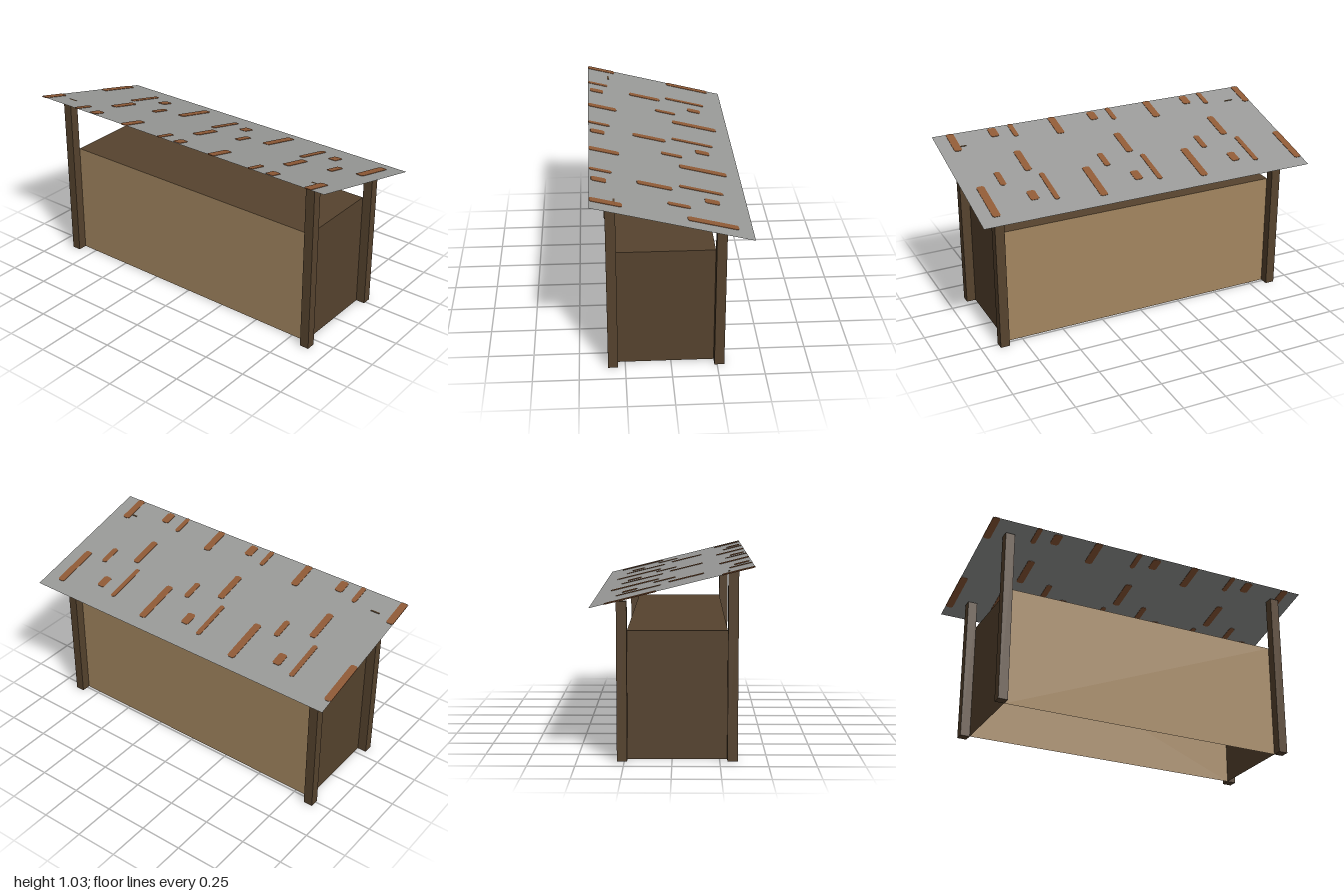
import * as THREE from 'three';

export function createModel() {
  const model = new THREE.Group();
  const mat = (name, color, side = THREE.FrontSide) => {
    const m = new THREE.MeshStandardMaterial({ color, side });
    m.name = name;
    return m;
  };
  const tan = mat('tan board', 0xa38660, THREE.DoubleSide);
  const brown = mat('dark timber', 0x56432e, THREE.DoubleSide);
  const grey = mat('grey metal', 0x999a98, THREE.DoubleSide);
  const rust = mat('rust', 0x8f5a36);

  const add = (parent, name, geo, material, x = 0, y = 0, z = 0) => {
    const mesh = new THREE.Mesh(geo, material);
    mesh.name = name;
    mesh.position.set(x, y, z);
    parent.add(mesh);
    return mesh;
  };

  // Corner posts: tall at the front, short at the back
  const post = 0.054;
  for (const side of [1, -1]) {
    const label = side > 0 ? 'left' : 'right';
    for (const [name, h, z] of [['FrontPost', 1.0, 0.317], ['BackPost', 0.842, -0.262]]) {
      add(model, label + name, new THREE.BoxGeometry(post, h, post), brown, side * 0.868, h / 2, z);
    }
  }

  // Thin counter walls between the inner corners of the posts, open below
  const H = 0.684, halfX = 0.841, zF = 0.29, zB = -0.235;
  const depth = zF - zB, midZ = (zF + zB) / 2;
  add(model, 'frontWall', new THREE.PlaneGeometry(2 * halfX, H), tan, 0, H / 2, zF);
  add(model, 'backWall', new THREE.PlaneGeometry(2 * halfX, H), tan, 0, H / 2, zB).rotation.y = Math.PI;
  for (const side of [1, -1]) {
    const wall = add(model, side > 0 ? 'leftWall' : 'rightWall',
      new THREE.PlaneGeometry(depth, H), brown, side * halfX, H / 2, midZ);
    wall.rotation.y = side * Math.PI / 2;
  }
  add(model, 'counterTop', new THREE.PlaneGeometry(2 * halfX, depth), brown, 0, H, midZ).rotation.x = -Math.PI / 2;

  // Sloping roof sheet, higher at the front
  const roof = new THREE.Group();
  roof.name = 'roof';
  const run = 0.842, rise = 0.21;
  const slope = Math.atan2(rise, run), stretch = 1 / Math.cos(slope);
  roof.position.set(0, 0.925, 0);
  roof.rotation.x = -Math.PI / 2 - slope;
  model.add(roof);
  add(roof, 'roofSheet', new THREE.PlaneGeometry(2, run * stretch), grey);

  // Rust patches with cut corners, showing on both faces of the sheet
  const patch = (x0, x1, z0, z1) => {
    x0 = Math.max(x0, -1); x1 = Math.min(x1, 1); z1 = Math.min(z1, run / 2);
    const a = -z1 * stretch, b = -z0 * stretch, c = 0.009;
    const shape = new THREE.Shape([
      [x0 + c, a], [x1 - c, a], [x1, a + c], [x1, b - c],
      [x1 - c, b], [x0 + c, b], [x0, b - c], [x0, a + c],
    ].map(p => new THREE.Vector2(...p)));
    const geo = new THREE.ExtrudeGeometry(shape, { depth: 0.005, bevelEnabled: false });
    add(roof, 'rustPatch', geo, rust, 0, 0, -0.0025);
  };
  // centre x, width, front-to-back range; the pattern repeats across and down the sheet
  const pattern = [
    [-0.98, 0.045, -0.345, -0.08],
    [-0.72, 0.03, -0.30, -0.06],
    [-0.602, 0.05, -0.27, -0.19],
    [-0.485, 0.035, -0.105, 0.015],
    [-0.665, 0.042, -0.02, 0.168],
  ];
  for (const [cx, w, z0, z1] of pattern) {
    for (let x = cx; x < 1; x += 0.626) {
      for (let dz = 0; z0 + dz < 0.4; dz += 0.6) {
        patch(x - w / 2, x + w / 2, z0 + dz, z1 + dz);
      }
    }
  }
  return model;
}
